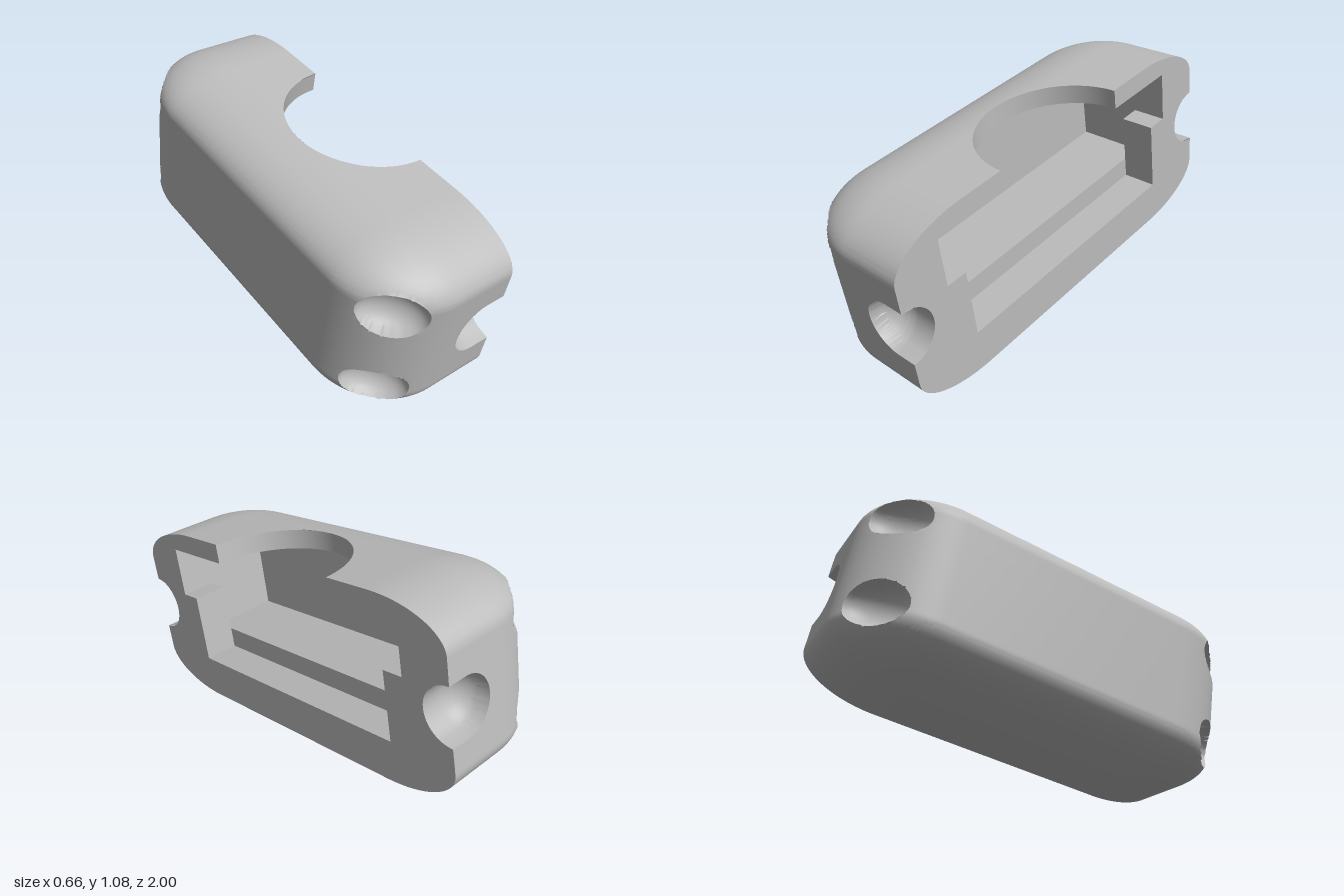
import * as THREE from 'three';
import { toCreasedNormals } from 'three/addons/utils/BufferGeometryUtils.js';

// local frame: x across (cut open at CUT), y up, z along the length
const CUT = 0.33, CX = 0.03, CY = 0.253, CZ = 0.59;   // cut plane and core of the rounded block
const RX = 0.36, RY = 0.18, RZ = 0.38;                // edge rounding radii
const HOLE = 0.37, CEIL = 0.34;                       // top opening radius, cavity ceiling
const TOP = CY + RY, END = CZ + RZ;

// plan outline from the front cut edge round the side to the back cut edge
function outline() {
  const half = [];
  for (let i = 0; i < 30; i++) half.push([CUT + (CX - CUT) * i / 30, END]);
  for (let i = 0; i < 60; i++) {
    const a = i / 60 * Math.PI / 2;
    half.push([CX - RX * Math.sin(a), CZ + RZ * Math.cos(a)]);
  }
  for (let i = 0; i < 12; i++) half.push([CX - RX, CZ * (1 - i / 12)]);
  return [...half, [CX - RX, 0], ...half.map(([x, z]) => [x, -z]).reverse()];
}

// height of the rounded block above its mid plane
function height(x, z) {
  const dx = Math.max(0, CX - x) / RX, dz = Math.max(0, Math.abs(z) - CZ) / RZ;
  return CY + RY * Math.sqrt(Math.max(0, 1 - dx * dx - dz * dz));
}

// finger grooves in the ends, oval dimples at the corners
const pockets = [];
for (const s of [1, -1]) {
  pockets.push({
    c: new THREE.Vector3(0.235, 0, s * 0.967), n: new THREE.Vector3(0, 0, s),
    t: new THREE.Vector3(1, 0, 0), r: [0.135, 0.135, 0.135], groove: true,
  });
  for (const v of [1, -1]) {
    pockets.push({
      c: new THREE.Vector3(-0.215, v * 0.22, s * 0.86),
      n: new THREE.Vector3(-1, 0, s).normalize(),
      t: new THREE.Vector3(1, 0, s).normalize(), r: [0.155, 0.105, 0.1],
    });
  }
}

// push a surface point that lies in a pocket down to the pocket's floor
function carve(p) {
  for (const { c, n, t, r, groove } of pockets) {
    const o = c.clone();
    if (groove) o.x = Math.max(c.x, p.x);
    const d = p.clone().sub(o);
    const a = d.dot(t) / r[0], b = d.y / r[1], e = d.dot(n) / r[2];
    const rho = Math.hypot(a, b, e);
    if (rho > 1.05) continue;
    if (rho > 0.95) p.copy(o).addScaledVector(d, 1 / rho);
    else {
      const depth = Math.sqrt(Math.max(0, 1 - a * a - b * b));
      p.addScaledVector(n, (-depth - e) * r[2]);
    }
  }
  return p;
}

// outer skin: underside, wall and top swept round the outline
function shellGeometry() {
  const CAP = 40, WALL = 50, pos = [], index = [], pts = outline();
  const rows = 2 * CAP + WALL + 1;
  for (const [px, pz] of pts) {
    const len = Math.hypot(px - CUT, pz);
    for (let j = 0; j < rows; j++) {
      const low = j < CAP, high = j > CAP + WALL;
      const step = low ? CAP - j : high ? j - CAP - WALL : 0;
      const k = (step / CAP) ** 2;
      const rim = low ? 0.001 : HOLE;
      const x = px + (CUT + (px - CUT) / len * rim - px) * k;
      const z = pz + (pz / len * rim - pz) * k;
      const y = low ? -height(x, z) : high ? height(x, z) : -CY + 2 * CY * (j - CAP) / WALL;
      const p = carve(new THREE.Vector3(x, y, z));
      pos.push(p.x, p.y, p.z);
    }
  }
  for (let i = 0; i < pts.length - 1; i++) {
    for (let j = 0; j < rows - 1; j++) {
      const a = i * rows + j, b = a + rows;
      index.push(a, a + 1, b, b, a + 1, b + 1);
    }
  }
  const g = new THREE.BufferGeometry();
  g.setAttribute('position', new THREE.Float32BufferAttribute(pos, 3));
  g.setIndex(index);
  return toCreasedNormals(g, 0.65);
}

// flat section on the open side
function cutFaceGeometry() {
  const s = new THREE.Shape(), q = Math.PI / 2, r = 0.135;
  s.moveTo(HOLE, TOP);
  s.lineTo(CZ, TOP);
  s.absellipse(CZ, CY, RZ, RY, q, 0, true);
  s.lineTo(END, r);
  s.absarc(0.967, 0, r, q, 3 * q, false);
  s.lineTo(END, -CY);
  s.absellipse(CZ, -CY, RZ, RY, 0, -q, true);
  s.lineTo(-CZ, -TOP);
  s.absellipse(-CZ, -CY, RZ, RY, -q, -2 * q, true);
  s.lineTo(-END, -r);
  s.absarc(-0.967, 0, r, -q, q, false);
  s.lineTo(-END, CY);
  s.absellipse(-CZ, CY, RZ, RY, 2 * q, q, true);
  for (const [z, y] of [[-HOLE, TOP], [-HOLE, CEIL], [-0.735, CEIL], [-0.735, 0.1], [-0.635, 0.1],
    [-0.635, -0.233], [0.635, -0.233], [0.635, 0.1], [0.735, 0.1], [0.735, CEIL], [HOLE, CEIL]]) s.lineTo(z, y);
  return new THREE.ShapeGeometry(s, 32).rotateY(q).translate(CUT, 0, 0);
}

// cavity ceiling with the half-round opening
function ceilingGeometry() {
  const s = new THREE.Shape();
  s.moveTo(CUT, -0.735);
  s.lineTo(CUT, -HOLE);
  s.absarc(CUT, 0, HOLE, -Math.PI / 2, -1.5 * Math.PI, true);
  s.lineTo(CUT, 0.735);
  s.lineTo(-0.166, 0.735);
  s.lineTo(-0.166, -0.735);
  return new THREE.ShapeGeometry(s, 48).rotateX(Math.PI / 2).translate(0, CEIL, 0);
}

export function createModel() {
  const grey = new THREE.MeshStandardMaterial({ color: 0xbcbcbc, side: THREE.DoubleSide });
  grey.name = 'grey plastic';
  const model = new THREE.Group();
  model.name = 'halfCase';
  const body = new THREE.Group();
  body.name = 'tiltedCase';
  body.position.y = 0.54;
  body.rotation.x = THREE.MathUtils.degToRad(10);
  model.add(body);

  const add = (name, geometry) => {
    const m = new THREE.Mesh(geometry, grey);
    m.name = name;
    body.add(m);
  };
  const box = (name, x0, x1, y0, y1, z0, z1) => add(name,
    new THREE.BoxGeometry(x1 - x0, y1 - y0, z1 - z0)
      .translate((x0 + x1) / 2, (y0 + y1) / 2, (z0 + z1) / 2));

  add('outerShell', shellGeometry());
  add('cutFace', cutFaceGeometry());
  add('cavityCeiling', ceilingGeometry());
  add('openingWall', new THREE.CylinderGeometry(HOLE, HOLE, TOP - CEIL - 0.003, 64, 1, true, Math.PI, Math.PI)
    .translate(CUT, (TOP + CEIL - 0.003) / 2, 0));

  // cavity: side wall, stepped floor, end walls and corner posts
  const edge = CUT - 0.0005;
  box('cavitySideWall', -0.176, -0.166, -0.233, CEIL, -0.735, 0.735);
  box('raisedFloor', -0.166, 0.165, -0.233, -0.132, -0.735, 0.735);
  box('channelFloor', 0.165, edge, -0.243, -0.233, -0.635, 0.635);
  for (const s of [1, -1]) {
    box('cavityEndWall', -0.166, edge, -0.132, CEIL, s * 0.74 - 0.005, s * 0.74 + 0.005);
    box('cornerPost', 0.165, edge, -0.233, 0.1, s * 0.685 - 0.05, s * 0.685 + 0.05);
  }
  return model;
}
